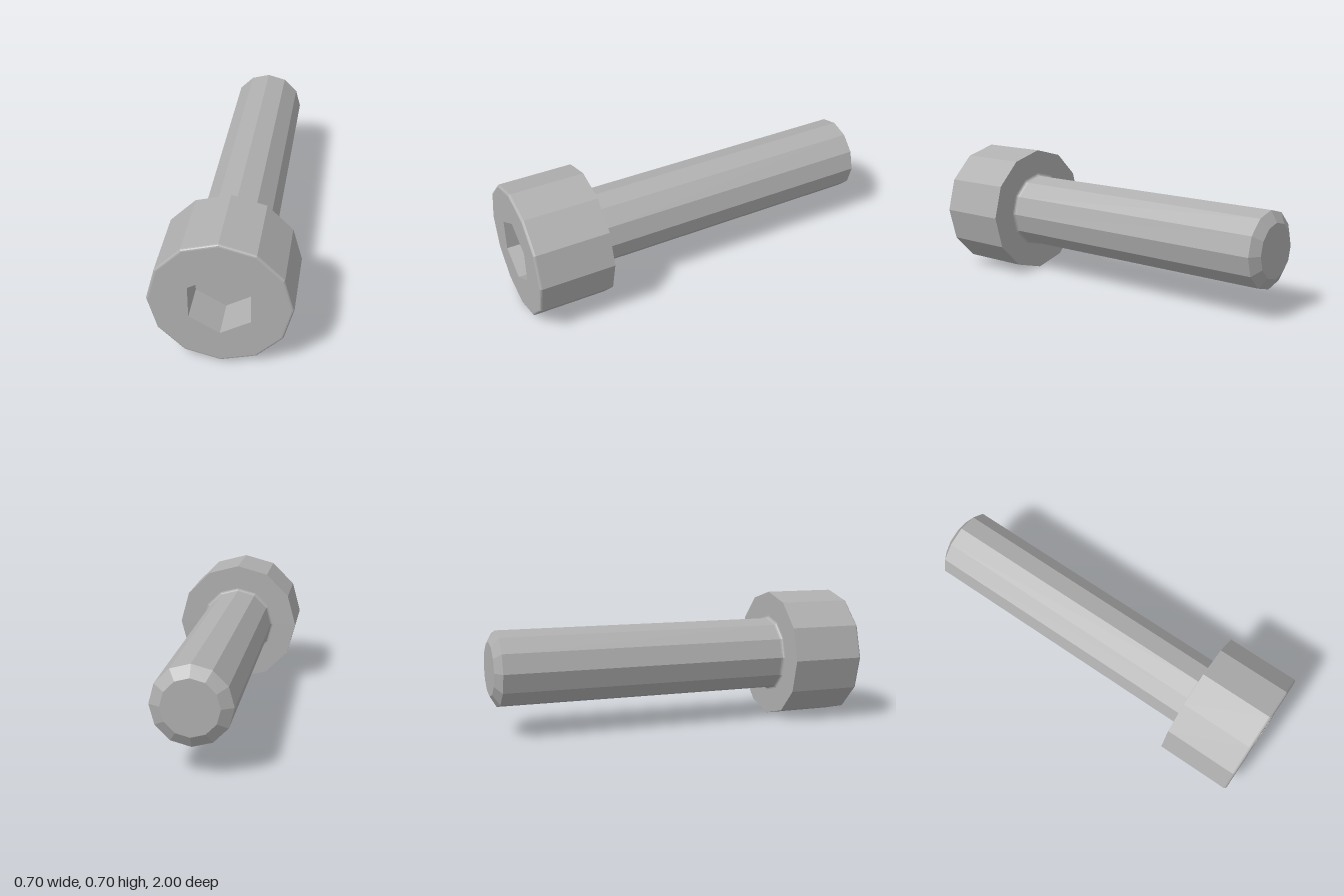
import * as THREE from 'three';

const SIDES = 12;
const HEAD_R = 0.35, SHAFT_R = 0.2, SOCKET_R = 0.173, SOCKET_DEPTH = 0.2;
const BEVEL = 0.012, FILLET = 0.015;

// Quarter-round points as [radius, position along the axis]
function arc(cr, cz, r, from, to, steps = 3) {
  return Array.from({ length: steps + 1 }, (_, i) => {
    const a = from + (to - from) * i / steps;
    return [cr + r * Math.cos(a), cz + r * Math.sin(a)];
  });
}

// Polygon ring of points, first corner pointing up
function ring(radius, sides) {
  return Array.from({ length: sides }, (_, i) => {
    const a = Math.PI / 2 + i * 2 * Math.PI / sides;
    return new THREE.Vector2(radius * Math.cos(a), radius * Math.sin(a));
  });
}

export function createModel() {
  const model = new THREE.Group();
  model.name = 'socketHeadBolt';
  const steel = new THREE.MeshStandardMaterial({ color: 0xb0b0b0 });
  steel.name = 'steel';
  steel.flatShading = true;

  const add = (name, geometry) => {
    const mesh = new THREE.Mesh(geometry, steel);
    mesh.name = name;
    mesh.position.y = HEAD_R;
    model.add(mesh);
  };
  // Turned part lying along z, profile given from back to front
  const turned = (name, profile) => add(name, new THREE.LatheGeometry(
    profile.map(([r, z]) => new THREE.Vector2(r, z)), SIDES).rotateX(Math.PI / 2));

  // Shaft with chamfered tip and a small fillet under the head
  turned('shaft', [
    [0, -1], [0.142, -1], [SHAFT_R, -0.965],
    ...arc(SHAFT_R + FILLET, 0.6 - FILLET, FILLET, Math.PI, Math.PI / 2),
  ]);

  // Head underside, sides and rounded front rim
  turned('head', [
    [SHAFT_R + FILLET, 0.6], [HEAD_R, 0.6],
    ...arc(HEAD_R - BEVEL, 1 - BEVEL, BEVEL, 0, Math.PI / 2),
  ]);

  // Front face with hexagonal opening
  const face = new THREE.Shape(ring(HEAD_R - BEVEL, SIDES));
  face.holes.push(new THREE.Path(ring(SOCKET_R, 6).reverse()));
  add('headFace', new THREE.ShapeGeometry(face).translate(0, 0, 1));

  // Socket walls, turned inward by mirroring the winding
  const walls = new THREE.CylinderGeometry(SOCKET_R, SOCKET_R, SOCKET_DEPTH, 6, 1, true)
    .rotateX(Math.PI / 2).translate(0, 0, 1 - SOCKET_DEPTH / 2);
  walls.index.array.reverse();
  walls.computeVertexNormals();
  add('socketWalls', walls);

  // Socket floor
  add('socketFloor', new THREE.CircleGeometry(SOCKET_R, 6, Math.PI / 2)
    .translate(0, 0, 1 - SOCKET_DEPTH));

  return model;
}
